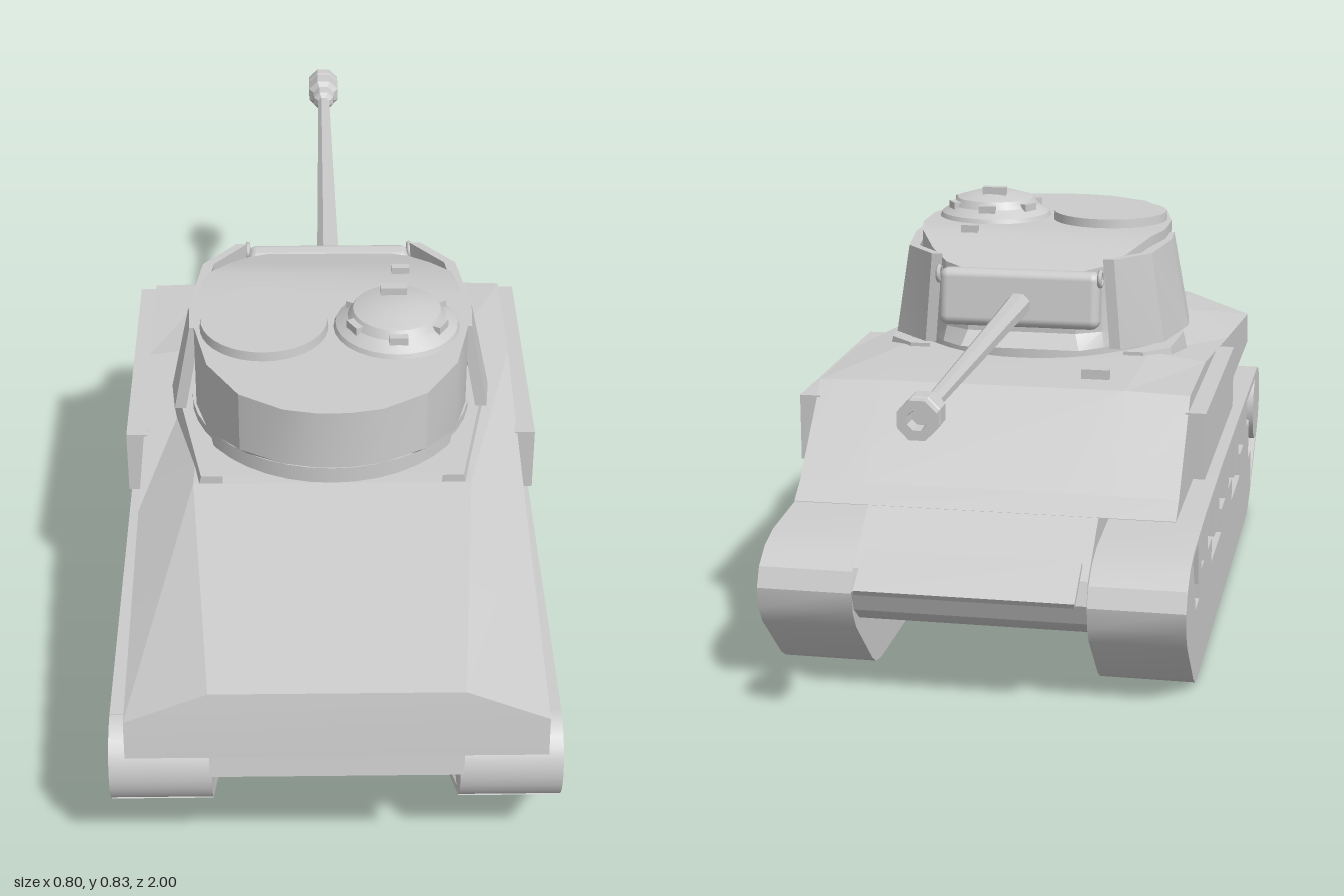
import * as THREE from 'three';
import { toCreasedNormals } from 'three/addons/utils/BufferGeometryUtils.js';
import { RoundedBoxGeometry } from 'three/addons/geometries/RoundedBoxGeometry.js';

const material = new THREE.MeshStandardMaterial({ color: 0xcccccc });

// Skin a series of equal-length loops and close both ends with strips.
function loft(loops, crease = 0.4) {
  const n = loops[0].length, idx = [];
  for (let s = 0; s < loops.length - 1; s++) {
    for (let i = 0; i < n; i++) {
      const a = s * n + i, b = s * n + (i + 1) % n;
      idx.push(a, b, b + n, a, b + n, a + n);
    }
  }
  const e = (loops.length - 1) * n;
  for (let i = 0; i < n / 2 - 1; i++) {
    const j = n - 1 - i;
    idx.push(e + i, e + i + 1, e + j - 1, e + i, e + j - 1, e + j);
    idx.push(i, j - 1, i + 1, i, j, j - 1);
  }
  const g = new THREE.BufferGeometry();
  g.setAttribute('position', new THREE.Float32BufferAttribute(loops.flat(2), 3));
  g.setIndex(idx);
  return toCreasedNormals(g, crease);
}

// Complete a half loop with its mirror image across x = 0.
const symmetric = half => [...half, ...half.map(([x, y, z]) => [-x, y, z]).reverse()];
const mirrorLoops = loops => loops.map(l => l.map(([x, y, z]) => [-x, y, z])).reverse();

// Side profile given as [z, y] points, extruded between two x positions.
function profile(points, x0, x1, holes = [], crease = 0.5) {
  const vec = list => list.map(([z, y]) => new THREE.Vector2(z, y));
  const shape = new THREE.Shape(vec(points));
  holes.forEach(h => shape.holes.push(new THREE.Path(vec(h))));
  const g = new THREE.ExtrudeGeometry(shape, { depth: x1 - x0, bevelEnabled: false });
  g.rotateY(-Math.PI / 2).translate(x1, 0, 0);
  return toCreasedNormals(g, crease);
}

export function createModel() {
  const model = new THREE.Group();
  const add = (name, geometry, x = 0, y = 0, z = 0, parent = model) => {
    const m = new THREE.Mesh(geometry, material);
    m.name = name;
    m.position.set(x, y, z);
    parent.add(m);
    return m;
  };

  // Hull: central tub and wide upper body
  add('lowerHull', profile([
    [1, 0.295], [0.98, 0.42], [0.8, 0.44], [-0.2, 0.48], [-0.32, 0.477], [-0.435, 0.365],
    [-0.6, 0.252], [-0.617, 0.21], [-0.6, 0.17], [-0.56, 0.14], [-0.5, 0.13],
    [0.78, 0.13], [0.82, 0.175], [0.9, 0.295]], -0.22, 0.22));
  const hullSection = (shoulder, top, zt, edge, ze, zb) =>
    symmetric([[shoulder, top, zt], [0.365, edge, ze], [0.365, 0.335, zb]]);
  add('upperHull', loft([
    hullSection(0.22, 0.46, 0.975, 0.407, 0.985, 0.995),
    hullSection(0.26, 0.53, 0.46, 0.468, 0.46, 0.46),
    hullSection(0.25, 0.54, 0, 0.524, 0, 0),
    hullSection(0.24, 0.528, -0.275, 0.524, -0.275, -0.275),
    hullSection(0.24, 0.366, -0.435, 0.365, -0.435, -0.435),
    hullSection(0.24, 0.337, -0.477, 0.336, -0.478, -0.478)], 0.1));
  add('frontPlate', new THREE.BoxGeometry(0.41, 0.012, 0.1), 0, 0.25, -0.615).rotation.x = -0.55;
  add('deckVent', new THREE.BoxGeometry(0.055, 0.02, 0.016), -0.17, 0.54, -0.2);

  // Track sides: one solid outline with stepped openings round the rollers
  const trackOutline = [
    [0.66, 0], [0.72, 0.03], [0.735, 0.083], [0.72, 0.136], [0.65, 0.136], [0.65, 0.23],
    [0.585, 0.23], [0.585, 0.292], [0.85, 0.292], [0.85, 0.307], [0, 0.305], [-0.3, 0.297],
    [-0.5, 0.285], [-0.555, 0.27], [-0.595, 0.242], [-0.612, 0.205], [-0.607, 0.165],
    [-0.585, 0.13], [-0.47, 0.025], [-0.44, 0.007], [-0.4, 0]];
  const opening = c => [
    [c + 0.173, 0.292], [c + 0.048, 0.292], [c + 0.048, 0.195], [c - 0.048, 0.195],
    [c - 0.048, 0.292], [c - 0.173, 0.292], [c - 0.173, 0.208], [c - 0.095, 0.208],
    [c - 0.095, 0.158], [c + 0.095, 0.158], [c + 0.095, 0.208], [c + 0.173, 0.208]]
    .map(([z, y]) => [z, Math.min(y, 0.288)]);
  const frontOpening = [
    [-0.313, 0.286], [-0.368, 0.286], [-0.368, 0.195], [-0.415, 0.195], [-0.43, 0.28],
    [-0.51, 0.272], [-0.455, 0.158], [-0.39, 0.158], [-0.39, 0.208], [-0.313, 0.208]];
  const track = new THREE.Group();
  track.name = 'tracks';
  model.add(track);
  for (const side of [-1, 1]) {
    const [x0, x1] = side > 0 ? [0.22, 0.402] : [-0.402, -0.22];
    add('trackRun', profile(trackOutline, x0, x1, [opening(0.342), opening(-0.075), frontOpening]), 0, 0, 0, track);
    add('trackRearBelt', profile([[0.9, 0.152], [0.885, 0.155], [0.715, 0.04], [0.66, 0.008], [0.66, 0], [0.715, 0.025]], x0, x1), 0, 0, 0, track);
    const idler = new THREE.CylinderGeometry(0.086, 0.086, 0.182, 28).rotateZ(Math.PI / 2);
    add('idlerWheel', idler, side * 0.311, 0.221, 0.845, track);
    // Flat armour box on the hull side
    add('sideArmour', new THREE.BoxGeometry(0.04, 0.13, 0.555), side * 0.379, 0.433, -0.027);
  }

  // Turret: cast body with an undercut rear and a sloping front roof
  const turret = new THREE.Group();
  turret.name = 'turret';
  model.add(turret);
  const ring = new THREE.CylinderGeometry(0.27, 0.27, 0.045, 40);
  add('turretRing', ring, 0, 0.54, 0.19, turret);
  const bottom = [[0.03, 0.44], [0.09, 0.43], [0.16, 0.405], [0.215, 0.35], [0.247, 0.26],
    [0.25, 0.17], [0.235, 0.08], [0.2, 0], [0.165, -0.06], [0.12, -0.1]];
  const wall = [[0.03, 0.573], [0.09, 0.56], [0.17, 0.51], [0.23, 0.41], [0.258, 0.28],
    [0.257, 0.17], [0.238, 0.08], [0.2, 0.005], [0.16, -0.05], [0.11, -0.08]];
  const midY = [0.645, 0.645, 0.642, 0.615, 0.59, 0.59, 0.59, 0.59, 0.59, 0.59];
  const roofY = z => 0.762 - Math.max(0, 0.08 - z) * 0.3;
  add('turretBody', loft([
    symmetric(bottom.map(([x, z]) => [x, 0.56, z])),
    symmetric(wall.map(([x, z], i) => [x, midY[i], z])),
    symmetric(wall.map(([x, z]) => [x, roofY(z), z]))], 0.35), 0, 0, 0, turret);

  // Leaning cheek plates and low guards at the turret foot
  const cheek = [[0.25, 0.302, 0.268], [0.17, 0.31, 0.272], [0.01, 0.278, 0.25], [-0.07, 0.2, 0.185]]
    .map(([z, low, high]) => [[high, 0.742, z], [low, 0.56, z], [low - 0.022, 0.56, z], [high - 0.022, 0.742, z]]);
  const guard = [[0.46, 0.255], [0.17, 0.31], [0.02, 0.3], [-0.03, 0.25]]
    .map(([z, x]) => [[x - 0.01, 0.546, z], [x, 0.5, z], [x - 0.05, 0.5, z], [x - 0.05, 0.546, z]]);
  for (const [name, loops] of [['cheekPlate', cheek], ['footGuard', guard]]) {
    add(name, loft(loops, 0.2), 0, 0, 0, turret);
    add(name, loft(mirrorLoops(loops), 0.2), 0, 0, 0, turret);
  }

  // Roof fittings
  add('loaderHatch', new THREE.CylinderGeometry(0.119, 0.122, 0.03, 36), -0.126, 0.765, 0.28, turret);
  const dome = [[0.121, 0], [0.115, 0.015], [0.092, 0.03], [0.082, 0.046], [0.045, 0.057], [0, 0.058]]
    .map(([r, y]) => new THREE.Vector2(r, y));
  add('commanderCupola', toCreasedNormals(new THREE.LatheGeometry(dome, 28), 0.35), 0.123, 0.756, 0.28, turret);
  add('cupolaPeriscope', new THREE.BoxGeometry(0.05, 0.022, 0.018), 0.118, 0.817, 0.245, turret);
  add('roofPeriscope', new THREE.BoxGeometry(0.035, 0.024, 0.015), 0.138, 0.763, 0.08, turret);
  for (let i = 0; i < 6; i++) {
    const a = i * Math.PI / 3;
    const block = add('visionBlock', new THREE.BoxGeometry(0.035, 0.018, 0.022),
      0.123 + 0.088 * Math.sin(a), 0.787, 0.28 + 0.088 * Math.cos(a), turret);
    block.rotation.y = a;
  }

  // Gun: mantlet, tapering barrel and stepped muzzle brake
  const gun = new THREE.Group();
  gun.name = 'gun';
  turret.add(gun);
  add('mantlet', new RoundedBoxGeometry(0.325, 0.115, 0.05, 3, 0.018), 0, 0.662, -0.092, gun).rotation.x = 0.12;
  for (const side of [-1, 1]) {
    add('mantletHook', new THREE.TorusGeometry(0.014, 0.005, 6, 12).rotateY(Math.PI / 2), side * 0.163, 0.708, -0.1, gun);
  }
  const barrel = [[0, 0], [0.026, 0], [0.022, 0.2], [0.014, 0.79], [0.024, 0.8], [0.026, 0.825],
    [0.036, 0.835], [0.036, 0.872], [0.033, 0.875], [0.036, 0.88], [0.036, 0.9], [0.018, 0.9], [0.016, 0.87], [0, 0.87]]
    .map(([r, y]) => new THREE.Vector2(r, y));
  const barrelGeometry = new THREE.LatheGeometry(barrel, 8, Math.PI / 8).rotateX(-Math.PI / 2);
  add('barrel', toCreasedNormals(barrelGeometry, 0.3), 0, 0.652, -0.1, gun);

  return model;
}
